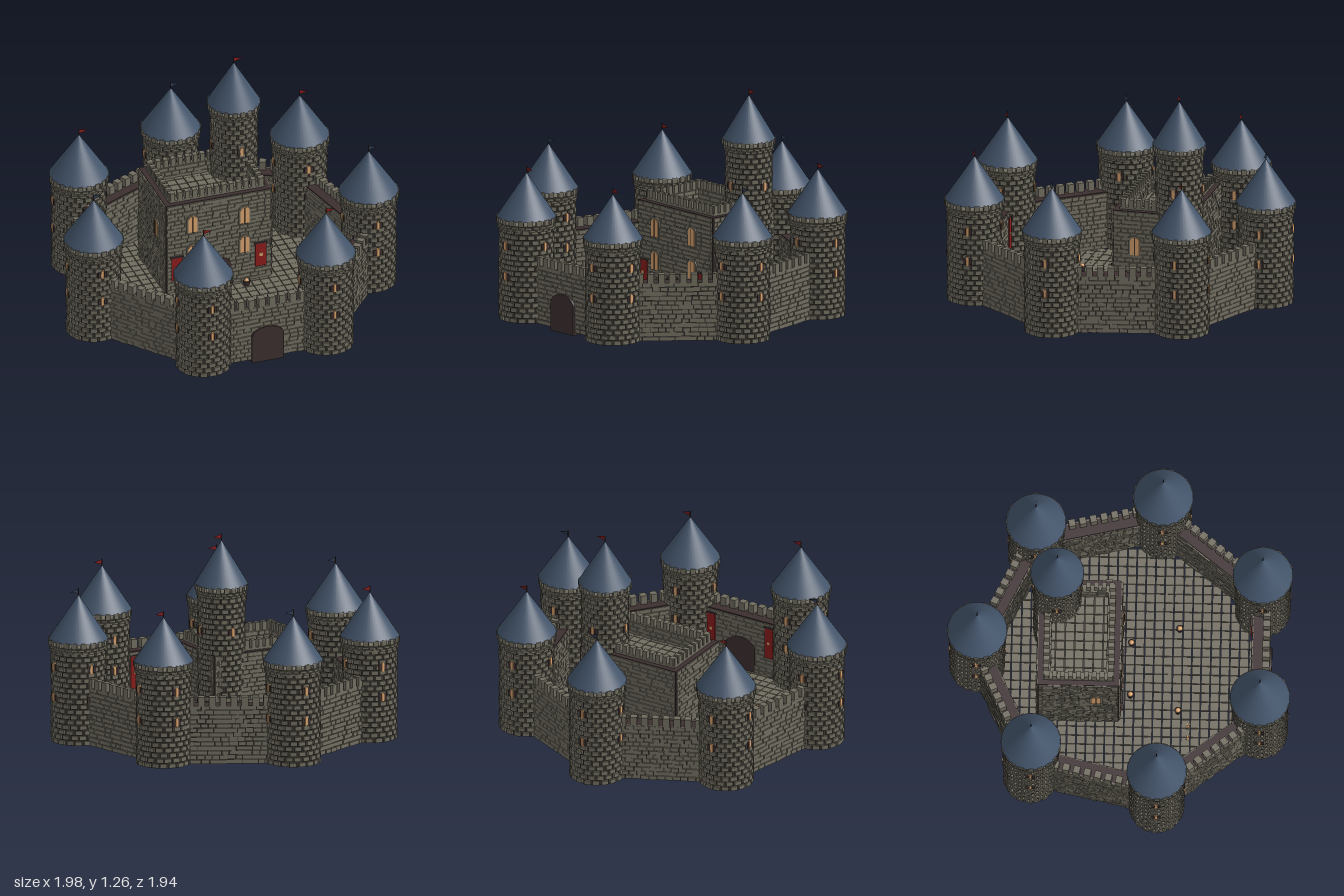
import * as THREE from 'three';
import { mergeGeometries } from 'three/addons/utils/BufferGeometryUtils.js';

const material = (name, color, side = THREE.FrontSide) => {
  const m = new THREE.MeshStandardMaterial({ color, side });
  m.name = name;
  return m;
};
const stone = material('stone', 0x716d60);
const mortar = material('mortar', 0x38342f);
const brown = material('darkBrown', 0x3c2f30);
const slate = material('slateBlue', 0x43546a);
const red = material('red', 0x8c1c1c, THREE.DoubleSide);
const navy = material('navy', 0x2f3d52, THREE.DoubleSide);
const glow = material('warmGlow', 0xd9a26c);

let seed = 7;
const rand = () => (seed = (seed * 16807) % 2147483647) / 2147483647;

function part(parent, name, geometry, mat, x = 0, y = 0, z = 0, ry = 0) {
  const m = new THREE.Mesh(geometry, mat);
  m.name = name;
  m.position.set(x, y, z);
  m.rotation.y = ry;
  parent.add(m);
  return m;
}
function group(parent, name, x = 0, y = 0, z = 0, ry = 0) {
  const g = new THREE.Group();
  g.name = name;
  g.position.set(x, y, z);
  g.rotation.y = ry;
  parent.add(g);
  return g;
}
const box = (w, h, d, x = 0, y = 0, z = 0) => new THREE.BoxGeometry(w, h, d).translate(x, y, z);

// Staggered rows of blocks round a cylinder
function ringBricks(r, y0, y1, rowH, count, depth, fill = 0.84) {
  const list = [];
  const rows = Math.round((y1 - y0) / rowH);
  const pitch = (2 * Math.PI) / count;
  for (let j = 0; j < rows; j++) {
    for (let i = 0; i < count; i++) {
      const d = depth + rand() * 0.004;
      list.push(box(pitch * r * fill, rowH * 0.8, d, 0, y0 + (j + 0.5) * rowH, r + d / 2)
        .rotateY((i + (j % 2) / 2 + rand() * 0.12) * pitch));
    }
  }
  return mergeGeometries(list);
}

// Staggered blocks of uneven depth on a flat face looking along +z
function brickFace(len, y0, y1) {
  const list = [];
  const rows = Math.round((y1 - y0) / 0.025);
  const h = (y1 - y0) / rows;
  for (let j = 0; j < rows; j++) {
    let x = -len / 2;
    let w = j % 2 ? 0.022 : 0.044;
    while (x < len / 2 - 0.001) {
      w = Math.min(w, len / 2 - x);
      const d = 0.006 + rand() * 0.007;
      list.push(box(w - 0.002, h - 0.003, d, x + w / 2, y0 + (j + 0.5) * h, d / 2));
      x += w;
      w = 0.038 + rand() * 0.012;
    }
  }
  return mergeGeometries(list);
}

// A row of merlons along x
function merlons(len, count, fill, h, d) {
  const p = len / count;
  return mergeGeometries(Array.from({ length: count }, (_, i) =>
    box(p * fill, h, d, -len / 2 + (i + 0.5) * p, h / 2, 0)));
}

// Square paving where keep(x, z) is true
function paving(half, pitch, inside) {
  const list = [];
  const n = Math.ceil(half / pitch);
  for (let i = -n; i <= n; i++) for (let j = -n; j <= n; j++) {
    const x = i * pitch, z = j * pitch;
    if (inside(x, z)) {
      list.push(box(pitch - 0.003 - rand() * 0.002, 0.012 + rand() * 0.004, pitch - 0.003 - rand() * 0.003, x, 0, z));
    }
  }
  return mergeGeometries(list);
}

// Arched slab standing on y = 0, centred in depth
function arch(w, h, rise, d) {
  const s = new THREE.Shape();
  s.moveTo(-w / 2, 0).lineTo(w / 2, 0).lineTo(w / 2, h - rise);
  s.absellipse(0, h - rise, w / 2, rise, 0, Math.PI, false);
  s.closePath();
  return new THREE.ExtrudeGeometry(s, { depth: d, bevelEnabled: false, curveSegments: 10 }).translate(0, 0, -d / 2);
}

function archedWindow(parent, x, y, z, ry) {
  const g = group(parent, 'archedWindow', x, y, z, ry);
  part(g, 'windowFrame', arch(0.072, 0.118, 0.036, 0.018), stone, 0, -0.004, 0);
  part(g, 'windowPane', arch(0.054, 0.104, 0.027, 0.008), glow, 0, 0, 0.008);
  part(g, 'mullion', box(0.005, 0.1, 0.006, 0, 0.05, 0.012), brown);
}

function banner(parent, x, y, z, w, h, ry) {
  const g = group(parent, 'banner', x, y, z, ry);
  part(g, 'bannerCloth', box(w, h, 0.006), red);
  part(g, 'bannerPatch', box(w * 0.3, w * 0.3, 0.004, 0, 0, 0.004), glow);
  part(g, 'bannerRod', box(w + 0.014, 0.008, 0.01, 0, h / 2, 0), brown);
}

// Round tower: core, blocks, overhanging crown, cone roof and pennant
const brickCache = {};
function tower(parent, name, x, z, r, top, roofR, roofH, windowRows, flagMat) {
  const g = group(parent, name, x, 0, z);
  part(g, 'towerCore', new THREE.CylinderGeometry(r - 0.008, r - 0.008, top - 0.015, 32).translate(0, (top + 0.015) / 2, 0), mortar);
  brickCache[r] ??= mergeGeometries([
    ringBricks(r - 0.012, 0.015, top - 0.03, 0.03, Math.round(r * 125), 0.012),
    ringBricks(r - 0.008, top - 0.03, top, 0.015, 24, 0.016, 0.92),
  ]);
  part(g, 'towerBricks', brickCache[r], stone);
  part(g, 'crown', new THREE.CylinderGeometry(r + 0.01, r, 0.012, 32), stone, 0, top, 0);
  part(g, 'crownMerlons', ringBricks(roofR - 0.018, top, top + 0.04, 0.04, 20, 0.016, 0.62), stone);
  part(g, 'roof', new THREE.ConeGeometry(roofR, roofH, 40), slate, 0, top + 0.03 + roofH / 2, 0);
  const tip = top + 0.03 + roofH;
  part(g, 'flagPole', new THREE.CylinderGeometry(0.003, 0.003, 0.06, 6), brown, 0, tip + 0.005, 0);
  const flag = new THREE.Shape([[0, 0], [0.053, 0.014], [0, 0.028]].map(p => new THREE.Vector2(...p)));
  part(g, 'pennant', new THREE.ShapeGeometry(flag), flagMat, 0, tip + 0.004, 0);
  for (const y of windowRows) for (let k = 0; k < 4; k++) {
    const w = group(g, 'slitWindow', 0, y, 0, k * Math.PI / 2);
    part(w, 'slitGlow', box(0.016, 0.05, 0.012, 0, 0, r + 0.002), glow);
    for (const s of [-1, 1]) part(w, 'slitShutter', box(0.016, 0.036, 0.012, s * 0.018, 0, r), brown);
  }
}

// Curtain wall between two tower centres; local +z looks outward
function curtainWall(parent, a, b) {
  const dx = b[0] - a[0], dz = b[1] - a[1];
  const len = Math.hypot(dx, dz) - 0.24;
  const g = group(parent, 'curtainWall', (a[0] + b[0]) / 2, 0, (a[1] + b[1]) / 2, Math.atan2(-dz, dx));
  part(g, 'wallCore', box(len, 0.335, 0.085, 0, 0.1825, -0.005), brown);
  part(g, 'outerBricks', brickFace(len, 0.015, 0.352), stone, 0, 0, 0.037);
  part(g, 'innerBricks', brickFace(len, 0.015, 0.345), stone, 0, 0, -0.045, Math.PI);
  part(g, 'wallMerlons', merlons(len, 8, 0.62, 0.055, 0.042), stone, 0, 0.347, 0.027);
  return g;
}

export function createModel() {
  const root = new THREE.Group();
  root.name = 'castle';

  // Seven-sided ring of towers and walls
  const spots = Array.from({ length: 7 }, (_, i) => {
    const t = Math.PI + (i * 2 * Math.PI) / 7;
    return [0.842 * Math.sin(t), 0.842 * Math.cos(t) + 0.036];
  });
  spots.forEach((p, i) => {
    const blue = Math.abs(p[0]) < 0.1 || Math.abs(p[0]) > 0.75;
    tower(root, 'wallTower', p[0], p[1], 0.153, 0.573, 0.17, 0.255, [0.28, 0.455], blue ? navy : red);
    const wall = curtainWall(root, p, spots[(i + 1) % 7]);
    if (i === 3) {
      wall.name = 'gateWall';
      part(wall, 'gate', arch(0.19, 0.222, 0.06, 0.118), brown);
      for (const s of [-1, 1]) banner(wall, s * 0.19, 0.23, -0.06, 0.05, 0.19, Math.PI);
    }
  });

  // Courtyard
  part(root, 'courtyardPaving', paving(0.8, 0.0535, (x, z) => Math.hypot(x, z - 0.036) < 0.735), stone, 0, 0.014, 0);

  // Keep: four thin dark walls faced with blocks, parapet inside them
  const keep = group(root, 'keep', 0.005, 0, -0.23);
  const W = 0.63, D = 0.46;
  for (let k = 0; k < 4; k++) {
    const len = k % 2 ? D : W;
    const off = (k % 2 ? W : D) / 2;
    const side = group(keep, 'keepSide', 0, 0, 0, k * Math.PI / 2);
    part(side, 'keepWallCore', box(len, 0.575, 0.03, 0, 0.3, off - 0.015), brown);
    part(side, 'keepBricks', brickFace(len - 0.01, 0.015, 0.585), stone, 0, 0, off - 0.002);
    part(side, 'keepParapet', box(len - 0.06, 0.58, 0.034, 0, 0.31, off - 0.047), stone);
    part(side, 'keepInnerBricks', brickFace(len - 0.13, 0.52, 0.598), stone, 0, 0, off - 0.064, Math.PI);
    part(side, 'keepMerlons', merlons(len - 0.06, k % 2 ? 9 : 13, 0.62, 0.048, 0.034), stone, 0, 0.598, off - 0.047);
  }
  part(keep, 'keepRoofPaving', paving(0.3, 0.0535, (x, z) => Math.abs(x) < 0.28 && Math.abs(z) < 0.19), stone, 0, 0.52, 0);
  part(keep, 'keepRoofBase', box(0.56, 0.02, 0.38), mortar, 0, 0.505, 0);
  part(keep, 'keepDoor', arch(0.15, 0.19, 0.06, 0.02), brown, -0.005, 0.01, D / 2 + 0.006);
  for (const s of [-1, 1]) {
    for (const y of [0.21, 0.4]) archedWindow(keep, s * 0.155 - 0.005, y, D / 2 + 0.006, 0);
    archedWindow(keep, s * (W / 2 + 0.006), 0.335, 0.1, s * Math.PI / 2);
    banner(keep, s * 0.25 - 0.005, 0.18, D / 2 + 0.016, 0.065, 0.15, 0);
  }
  tower(root, 'keepTower', 0.22, -0.36, 0.132, 0.945, 0.152, 0.255, [0.72], red);

  // Braziers in the courtyard
  for (const [x, z] of [[-0.16, 0.06], [0.15, 0.06], [-0.25, 0.33], [0.24, 0.33]]) {
    const b = group(root, 'brazier', x, 0.015, z);
    part(b, 'brazierBowl', new THREE.CylinderGeometry(0.021, 0.014, 0.035, 10), brown, 0, 0.018, 0);
    part(b, 'brazierFire', new THREE.SphereGeometry(0.015, 10, 6), glow, 0, 0.036, 0);
  }

  // Small crossed stakes beside the gate
  for (const x of [-0.405, -0.335]) {
    const c = group(root, 'crossedStakes', x, 0.025, 0.39);
    part(c, 'stake', box(0.032, 0.006, 0.006), glow, 0, 0, 0, 0.5);
    part(c, 'stake', box(0.032, 0.006, 0.006), glow, 0, 0.004, 0, -0.7);
  }
  return root;
}
